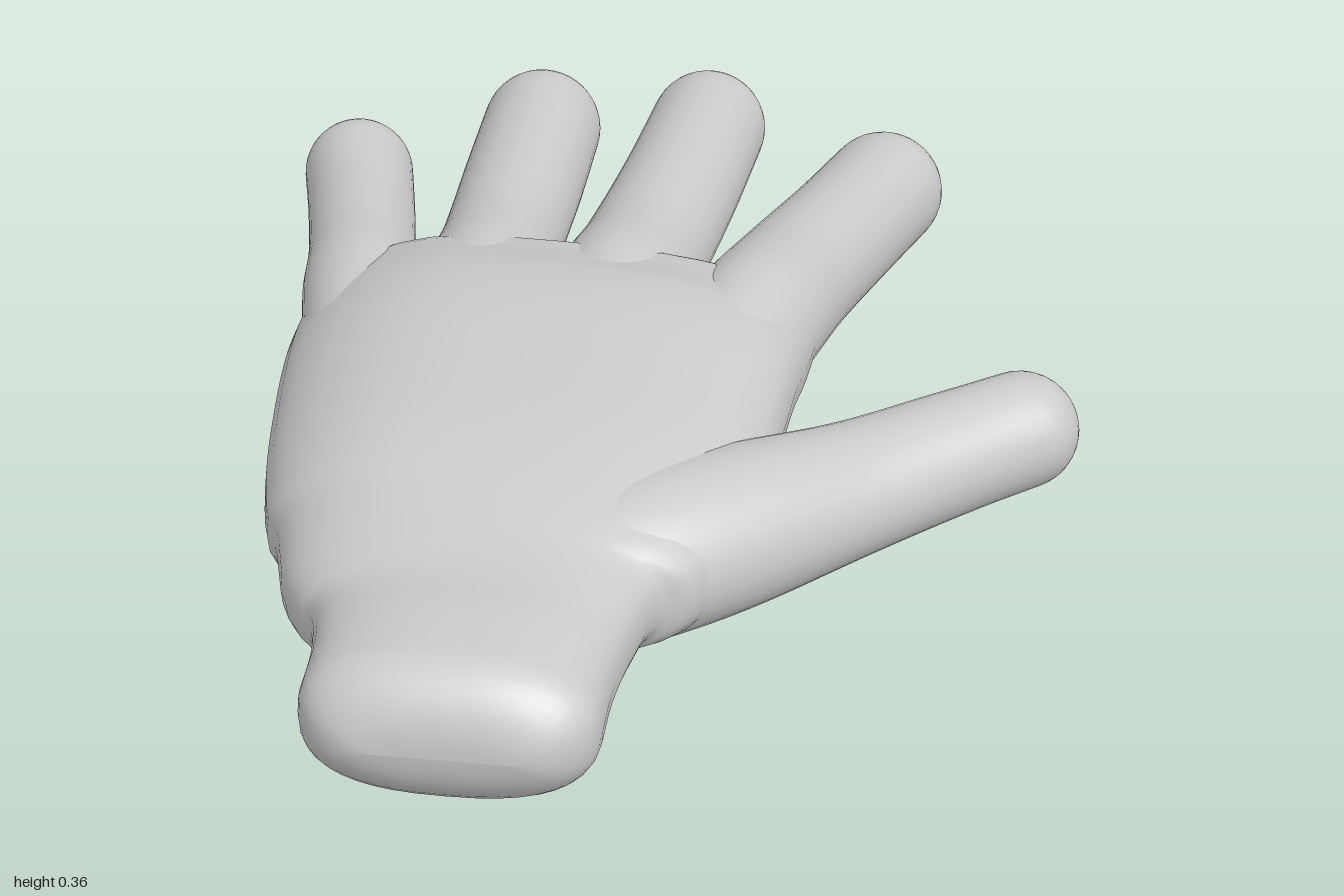
import * as THREE from 'three';

const SIDES = 40, STEPS = 40, CAP = 10;
const material = new THREE.MeshStandardMaterial({ color: 0xcccccc });

// Smooth closed loft. Each section is [x, y, z, halfWidth, halfHeight];
// both ends are closed by rounded caps of the given lengths.
function loft(name, sections, { power = 2, startCap, endCap, bend } = {}) {
  const path = new THREE.CatmullRomCurve3(sections.map(s => new THREE.Vector3(s[0], s[1], s[2])));
  const sizes = new THREE.CatmullRomCurve3(sections.map((s, i) => new THREE.Vector3(s[3], s[4], i * 0.2)));
  const rings = [];

  // rounded end: the section shrinks by its half height while moving outwards
  const cap = (t, length, k) => {
    const angle = (k / CAP) * Math.PI / 2;
    const size = sizes.getPoint(t), inset = size.y * (1 - Math.cos(angle));
    rings.push({ t, a: size.x - inset, b: size.y - inset, shift: length * Math.sin(angle) });
  };
  const first = startCap ?? sections[0][4];
  const last = endCap ?? sections[sections.length - 1][4];
  for (let k = CAP; k > 0; k--) cap(0, -first, k);
  for (let i = 0; i <= STEPS; i++) {
    const size = sizes.getPoint(i / STEPS);
    rings.push({ t: i / STEPS, a: size.x, b: size.y, shift: 0 });
  }
  for (let k = 1; k <= CAP; k++) cap(1, last, k);

  const positions = [], index = [];
  const curve = v => Math.sign(v) * Math.abs(v) ** (2 / power);
  rings.forEach(({ t, a, b, shift }, i) => {
    const tangent = path.getTangent(t);
    const side = new THREE.Vector3(0, 1, 0).cross(tangent).normalize();
    const up = tangent.clone().cross(side);
    const centre = path.getPoint(t).addScaledVector(tangent, shift);
    for (let j = 0; j < SIDES; j++) {
      const angle = (j / SIDES) * Math.PI * 2;
      const p = centre.clone()
        .addScaledVector(side, a * curve(Math.cos(angle)))
        .addScaledVector(up, b * curve(Math.sin(angle)));
      if (bend) bend(p);
      positions.push(p.x, p.y, p.z);
      if (i === rings.length - 1) continue;
      const p00 = i * SIDES + j, p01 = i * SIDES + (j + 1) % SIDES;
      index.push(p00, p01, p01 + SIDES, p00, p01 + SIDES, p00 + SIDES);
    }
  });
  const geometry = new THREE.BufferGeometry();
  geometry.setAttribute('position', new THREE.Float32BufferAttribute(positions, 3));
  geometry.setIndex(index);
  geometry.computeVertexNormals();
  const mesh = new THREE.Mesh(geometry, material);
  mesh.name = name;
  return mesh;
}

// Palm section from its extents: z, left and right edge, bottom and top
const slab = (z, x0, x1, y0, y1) => [(x0 + x1) / 2, (y0 + y1) / 2, z, (x1 - x0) / 2, (y1 - y0) / 2];

export function createModel() {
  const hand = new THREE.Group();
  hand.name = 'hand';

  // Wrist stub and palm in one run; the outer edge droops a little
  hand.add(loft('palmAndWrist', [
    slab(0.90, -0.335, 0.085, 0.11, 0.34),
    slab(0.80, -0.34, 0.085, 0.113, 0.338),
    slab(0.70, -0.365, 0.10, 0.12, 0.33),
    slab(0.60, -0.43, 0.14, 0.11, 0.335),
    slab(0.48, -0.48, 0.20, 0.085, 0.35),
    slab(0.35, -0.51, 0.225, 0.07, 0.36),
    slab(0.18, -0.54, 0.23, 0.065, 0.36),
    slab(0.00, -0.565, 0.235, 0.06, 0.355),
    slab(-0.10, -0.575, 0.24, 0.05, 0.34),
    slab(-0.20, -0.575, 0.245, 0.065, 0.31),
  ], {
    power: 2.5, startCap: 0.097, endCap: 0.1,
    bend: p => { p.y -= 0.7 * Math.max(0, -0.3 - p.x) ** 2; },
  }));

  // Fingers grow out of the palm and droop towards the tips
  const fingers = {
    littleFinger: [
      [-0.44, 0.20, 0.00, 0.09, 0.09], [-0.485, 0.19, -0.20, 0.093, 0.095],
      [-0.515, 0.175, -0.35, 0.087, 0.09], [-0.553, 0.16, -0.52, 0.088, 0.088],
      [-0.585, 0.155, -0.65, 0.09, 0.09],
    ],
    ringFinger: [
      [-0.27, 0.22, 0.00, 0.09, 0.1], [-0.288, 0.205, -0.20, 0.105, 0.11],
      [-0.298, 0.18, -0.40, 0.097, 0.1], [-0.305, 0.16, -0.65, 0.1, 0.1],
      [-0.31, 0.15, -0.855, 0.1, 0.1],
    ],
    middleFinger: [
      [-0.09, 0.225, 0.00, 0.09, 0.1], [-0.08, 0.21, -0.20, 0.11, 0.115],
      [-0.065, 0.185, -0.40, 0.103, 0.103], [-0.045, 0.165, -0.65, 0.1, 0.1],
      [-0.03, 0.15, -0.9, 0.098, 0.098],
    ],
    indexFinger: [
      [0.10, 0.22, 0.00, 0.1, 0.1], [0.14, 0.20, -0.20, 0.108, 0.112],
      [0.178, 0.165, -0.40, 0.104, 0.104], [0.236, 0.13, -0.63, 0.1, 0.1],
      [0.282, 0.105, -0.81, 0.1, 0.1],
    ],
    // Thumb, angled outwards from a broad root beside the wrist
    thumb: [
      [-0.04, 0.22, 0.58, 0.11, 0.1], [0.06, 0.217, 0.48, 0.13, 0.12],
      [0.18, 0.205, 0.365, 0.127, 0.118], [0.345, 0.188, 0.21, 0.106, 0.098],
      [0.48, 0.185, 0.09, 0.095, 0.092], [0.578, 0.185, 0.01, 0.09, 0.09],
    ],
  };
  for (const [name, sections] of Object.entries(fingers)) hand.add(loft(name, sections));

  return hand;
}
